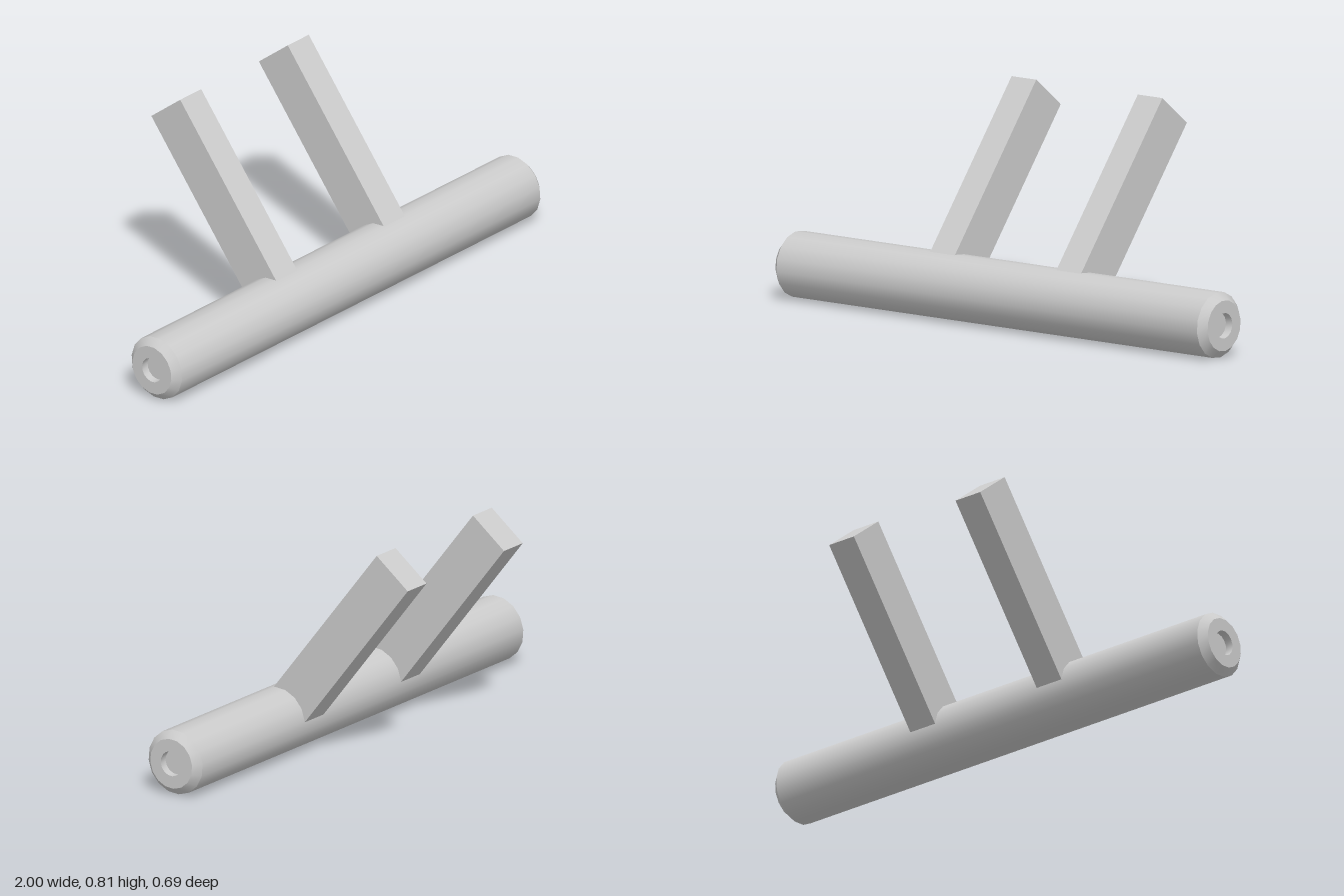
import * as THREE from 'three';
import { toCreasedNormals } from 'three/addons/utils/BufferGeometryUtils.js';

const AXIS_Y = 0.12;
const AXIS_Z = 0.2265;
const TILT = -0.668; // arms lean back from vertical

export function createModel() {
  const model = new THREE.Group();
  const material = new THREE.MeshStandardMaterial({ color: 0xcccccc });

  // Round bar with chamfered ends and a shallow centre hole in each end
  const end = [[0, 0.97], [0.046, 0.97], [0.046, 1], [0.092, 1], [0.119, 0.973]];
  const profile = [
    ...end.map(([r, x]) => new THREE.Vector2(r, -x)),
    ...end.map(([r, x]) => new THREE.Vector2(r, x)).reverse(),
  ];
  const barGeometry = new THREE.LatheGeometry(profile, 16, 0.115);
  barGeometry.rotateZ(-Math.PI / 2);
  const bar = new THREE.Mesh(toCreasedNormals(barGeometry, 0.5), material);
  bar.name = 'bar';
  bar.position.set(0, AXIS_Y, AXIS_Z);
  model.add(bar);

  // Two flat arms rising radially from the bar, rooted just inside its surface
  const inner = 0.07;
  const outer = 0.81;
  const armGeometry = new THREE.BoxGeometry(0.114, outer - inner, 0.173);
  armGeometry.translate(0, (inner + outer) / 2, 0);
  for (const [name, x] of [['rightArm', -0.288], ['leftArm', 0.296]]) {
    const arm = new THREE.Mesh(armGeometry, material);
    arm.name = name;
    arm.position.set(x, AXIS_Y, AXIS_Z);
    arm.rotation.x = TILT;
    model.add(arm);
  }

  return model;
}
